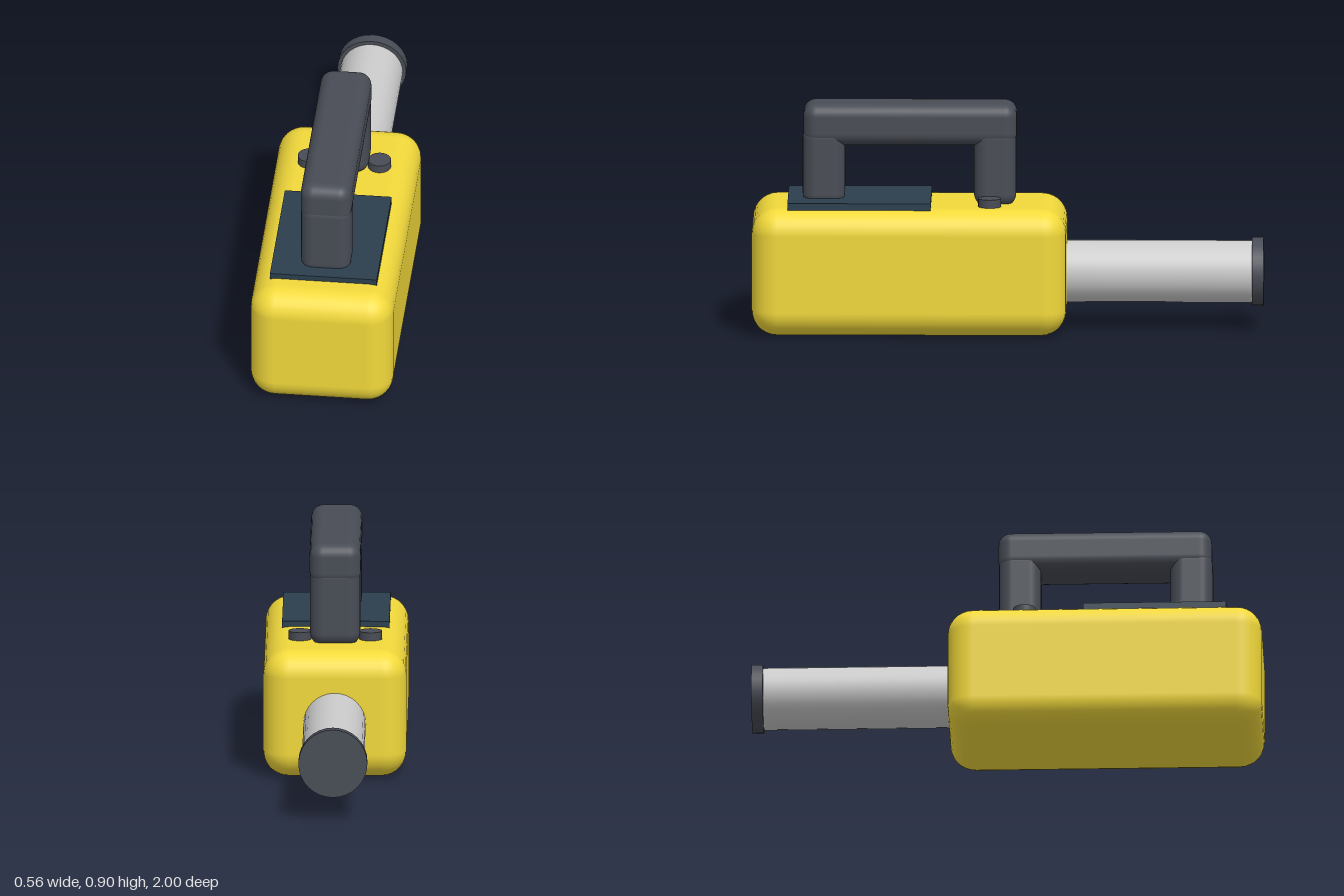
import * as THREE from 'three';
import { RoundedBoxGeometry } from 'three/addons/geometries/RoundedBoxGeometry.js';

export function createModel() {
  const model = new THREE.Group();
  model.name = 'handheldDevice';

  const yellow = new THREE.MeshStandardMaterial({ color: 0xf2d93b });
  const dark = new THREE.MeshStandardMaterial({ color: 0x484c55 });
  const navy = new THREE.MeshStandardMaterial({ color: 0x2b3f4e });
  const grey = new THREE.MeshStandardMaterial({ color: 0xcccccc });

  const add = (name, geometry, material, x, y, z) => {
    const mesh = new THREE.Mesh(geometry, material);
    mesh.name = name;
    mesh.position.set(x, y, z);
    model.add(mesh);
    return mesh;
  };

  // Main housing
  add('body', new RoundedBoxGeometry(0.56, 0.503, 1.23, 4, 0.1), yellow, 0, 0.2515, 0.385);

  // Carrying handle: grip bar on two posts
  add('handleGrip', new RoundedBoxGeometry(0.2, 0.165, 0.835, 4, 0.05), dark, 0, 0.8145, 0.3825);
  add('frontHandlePost', new RoundedBoxGeometry(0.196, 0.32, 0.165, 4, 0.05), dark, 0, 0.65, 0.72);
  add('rearHandlePost', new RoundedBoxGeometry(0.196, 0.32, 0.165, 4, 0.05), dark, 0, 0.65, 0.05);

  // Flat panel on the deck
  add('topPanel', new THREE.BoxGeometry(0.42, 0.03, 0.56), navy, 0, 0.51, 0.58);

  // Buttons either side of the rear post
  for (const side of [-1, 1]) {
    add(side > 0 ? 'leftButton' : 'rightButton',
      new THREE.CylinderGeometry(0.045, 0.045, 0.045, 24), dark, side * 0.138, 0.513, 0.07);
  }

  // Probe tube with a slightly eased end, pointing backwards
  const profile = [[0, 0], [0.122, 0], [0.122, 0.77], [0.116, 0.785], [0, 0.785]]
    .map(([r, h]) => new THREE.Vector2(r, h));
  const tube = new THREE.LatheGeometry(profile.slice(1, 3), 32);
  add('probeTube', tube, grey, 0, 0.225, -0.18).rotation.x = -Math.PI / 2;
  const easedEnd = new THREE.LatheGeometry(profile.slice(2), 32);
  add('probeTubeEnd', easedEnd, grey, 0, 0.225, -0.18).rotation.x = -Math.PI / 2;

  // End cap of the probe
  add('probeCap', new THREE.CylinderGeometry(0.135, 0.135, 0.045, 32), dark, 0, 0.225, -0.9775)
    .rotation.x = -Math.PI / 2;

  return model;
}
